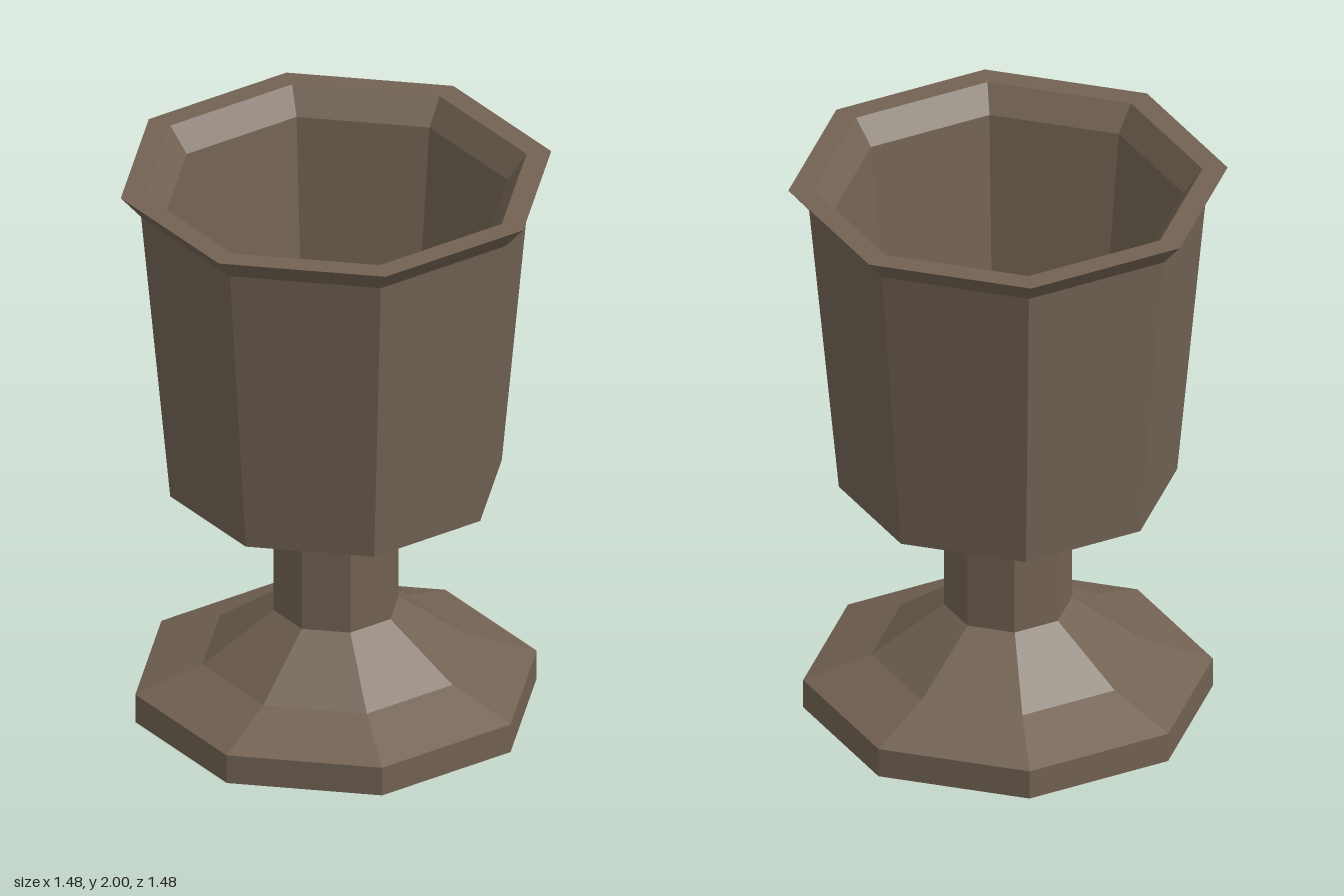
import * as THREE from 'three';

const SIDES = 8;

// Eight-sided turned section with flat facets; profile is [radius, height] pairs
function turned(name, profile, material) {
  const points = profile.map(([r, y]) => new THREE.Vector2(r, y));
  const geometry = new THREE.LatheGeometry(points, SIDES).toNonIndexed();
  geometry.computeVertexNormals();
  const mesh = new THREE.Mesh(geometry, material);
  mesh.name = name;
  return mesh;
}

export function createModel() {
  const goblet = new THREE.Group();
  goblet.name = 'goblet';
  const wood = new THREE.MeshStandardMaterial({ color: 0x726253, flatShading: true });
  wood.name = 'brown wood';

  goblet.add(
    // Closed underside, short vertical edge, then two slopes up to the stem
    turned('foot', [[0, 0], [0.69, 0], [0.69, 0.105], [0.46, 0.19], [0.215, 0.37]], wood),
    turned('stem', [[0.215, 0.37], [0.215, 0.73]], wood),
    turned('bowlOuter', [[0.215, 0.73], [0.57, 0.845], [0.67, 1.92]], wood),
    // Flared lip with a flat top and a bevel inside
    turned('rim', [[0.67, 1.92], [0.74, 2], [0.655, 2], [0.59, 1.91]], wood),
    turned('bowlInner', [[0.59, 1.91], [0.48, 0.87], [0, 0.87]], wood),
  );
  return goblet;
}
